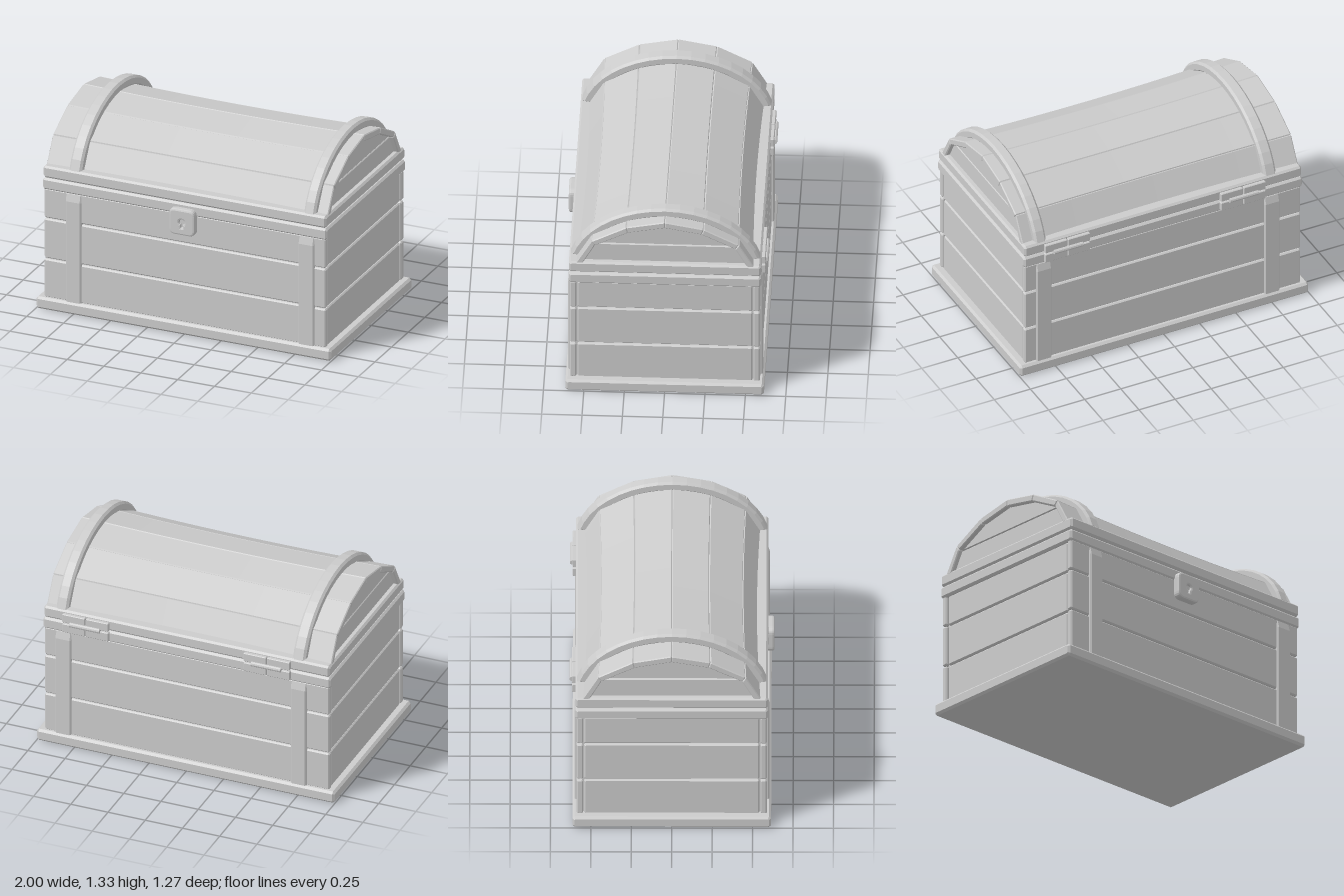
import * as THREE from 'three';

const material = new THREE.MeshStandardMaterial({ color: 0xcccccc, flatShading: true, side: THREE.DoubleSide });

// Cut every corner of a polygon by the distance c
function chamfer(points, c) {
  const out = [];
  points.forEach((p, i) => {
    for (const q of [points.at(i - 1), points[(i + 1) % points.length]]) {
      const d = Math.hypot(q[0] - p[0], q[1] - p[1]);
      out.push([p[0] + (q[0] - p[0]) * c / d, p[1] + (q[1] - p[1]) * c / d]);
    }
  });
  return out;
}

// Sweep a (z, y) profile along x from x0 to x1 with bevelled ends
function sweep(points, x0, x1, bevel, steps = 1) {
  const shape = new THREE.Shape(points.map(p => new THREE.Vector2(...p)));
  const geometry = new THREE.ExtrudeGeometry(shape, {
    depth: x1 - x0 - 2 * bevel, steps, bevelEnabled: true, bevelSegments: 1,
    bevelThickness: bevel, bevelSize: bevel, bevelOffset: -bevel,
  });
  return geometry.rotateY(-Math.PI / 2).translate(x1 - bevel, 0, 0);
}

function block(x0, x1, y0, y1, z0, z1, bevel) {
  return sweep(chamfer([[z0, y0], [z1, y0], [z1, y1], [z0, y1]], bevel), x0, x1, bevel);
}

export function createModel() {
  const chest = new THREE.Group();
  chest.name = 'treasureChest';
  const add = (name, geometry) => {
    const mesh = new THREE.Mesh(geometry, material);
    mesh.name = name;
    chest.add(mesh);
    return mesh;
  };

  // Foot plate, inner body and the two rims
  add('basePlate', block(-1, 1, 0, 0.08, -0.615, 0.615, 0.014));
  add('innerBody', block(-0.93, 0.93, 0.06, 0.82, -0.56, 0.56, 0.005));
  add('bodyRim', block(-0.965, 0.965, 0.803, 0.88, -0.595, 0.595, 0.012));
  add('lidRim', block(-0.96, 0.96, 0.884, 0.962, -0.595, 0.595, 0.012));

  // Body planks in three rows
  for (const [y0, y1] of [[0.075, 0.333], [0.34, 0.605], [0.612, 0.81]]) {
    for (const s of [-1, 1]) {
      const [z0, z1] = s > 0 ? [0.548, 0.588] : [-0.588, -0.548];
      add('longPlank', block(-0.955, 0.955, y0, y1, z0, z1, 0.008));
      const [x0, x1] = s > 0 ? [0.9, 0.948] : [-0.948, -0.9];
      add('endPlank', block(x0, x1, y0 - 0.004, y1 - 0.004, -0.542, 0.542, 0.008));
    }
  }

  // Upright straps on the front and back
  for (const [x0, x1] of [[-0.805, -0.7], [0.775, 0.88]]) {
    for (const s of [-1, 1]) {
      const profile = [[0.57, 0.07], [0.603, 0.07], [0.603, 0.755], [0.59, 0.803], [0.57, 0.803]];
      add('bodyStrap', sweep(profile.map(([z, y]) => [s * z, y]), x0, x1, 0.008));
    }
  }

  // Six lid planks, sagging a little towards the middle
  const outer = [[0.555, 0.95], [0.458, 1.12], [0.24, 1.234], [0, 1.28]];
  const inner = [[0.51, 0.95], [0.435, 1.087], [0.228, 1.192], [0, 1.235]];
  for (const s of [-1, 1]) {
    for (let i = 0; i < 3; i++) {
      const quad = [outer[i], outer[i + 1], inner[i + 1], inner[i]].map(([z, y]) => [s * z, y]);
      const geometry = sweep(chamfer(quad, 0.006), -0.955, 0.955, 0.006, 10);
      const p = geometry.attributes.position;
      for (let k = 0; k < p.count; k++) {
        const f = 1 - 0.04 * (1 - (p.getX(k) / 0.955) ** 2);
        p.setY(k, 0.9 + (p.getY(k) - 0.9) * f);
        p.setZ(k, p.getZ(k) * f);
      }
      geometry.computeVertexNormals();
      add('lidPlank', geometry);
    }
  }

  // Recessed lid ends, two boards each
  const lowerBoard = [[-0.525, 0.95], [0.525, 0.95], [0.445, 1.086], [-0.445, 1.086]];
  const upperBoard = [[-0.445, 1.092], [0.445, 1.092], [0.232, 1.2], [0, 1.243], [-0.232, 1.2]];
  for (const x of [-0.925, 0.895]) {
    add('lidEndBoard', sweep(lowerBoard, x, x + 0.03, 0.005));
    add('lidEndBoard', sweep(upperBoard, x, x + 0.03, 0.005));
  }

  // Arched straps over the lid
  const arc = [];
  const start = 0.234, count = 18;
  for (let i = 0; i <= 2 * count + 1; i++) {
    const isOuter = i <= count;
    const t = start + (Math.PI - 2 * start) * (isOuter ? i : 2 * count + 1 - i) / count;
    const inset = isOuter ? 0 : 0.065;
    arc.push([(0.603 - inset) * Math.cos(t), 0.85 + (0.475 - inset) * Math.sin(t)]);
  }
  for (const [x0, x1] of [[-0.79, -0.705], [0.803, 0.882]]) {
    add('lidStrap', sweep(arc, x0, x1, 0.014));
  }

  // Lock plate with a keyhole
  const lockShape = (r, h) => {
    const shape = new THREE.Shape();
    shape.moveTo(-h + r, -h);
    shape.lineTo(h - r, -h).quadraticCurveTo(h, -h, h, -h + r);
    shape.lineTo(h, h - r).quadraticCurveTo(h, h, h - r, h);
    shape.lineTo(-h + r, h).quadraticCurveTo(-h, h, -h, h - r);
    shape.lineTo(-h, -h + r).quadraticCurveTo(-h, -h, -h + r, -h);
    return shape;
  };
  const plate = lockShape(0.04, 0.087);
  const keyhole = new THREE.Path();
  keyhole.moveTo(-0.005, -0.035);
  keyhole.lineTo(0.005, -0.035);
  keyhole.lineTo(0.008, -0.012);
  keyhole.absarc(0, 0, 0.018, -0.7, Math.PI + 0.7, false);
  keyhole.lineTo(-0.008, -0.012);
  plate.holes.push(keyhole);
  const plateGeometry = new THREE.ExtrudeGeometry(plate, {
    depth: 0.033, curveSegments: 5, bevelSegments: 2,
    bevelThickness: 0.012, bevelSize: 0.012, bevelOffset: -0.012,
  });
  add('lockPlate', plateGeometry).position.set(-0.003, 0.766, 0.589);
  add('lockBacking', block(-0.06, 0.055, 0.71, 0.82, 0.57, 0.618, 0.005));

  // Two hinges: leaves on each rim and a pin between them
  for (const x of [-0.545, 0.672]) {
    for (const s of [-1, 1]) {
      const x0 = s > 0 ? x + 0.003 : x - 0.155;
      add('upperHingeLeaf', block(x0, x0 + 0.152, 0.887, 0.945, -0.617, -0.585, 0.004));
      add('lowerHingeLeaf', block(x0, x0 + 0.152, 0.818, 0.878, -0.617, -0.585, 0.004));
    }
    const pin = new THREE.CylinderGeometry(0.016, 0.016, 0.2, 10).rotateZ(Math.PI / 2);
    add('hingePin', pin).position.set(x, 0.883, -0.618);
  }

  return chest;
}
